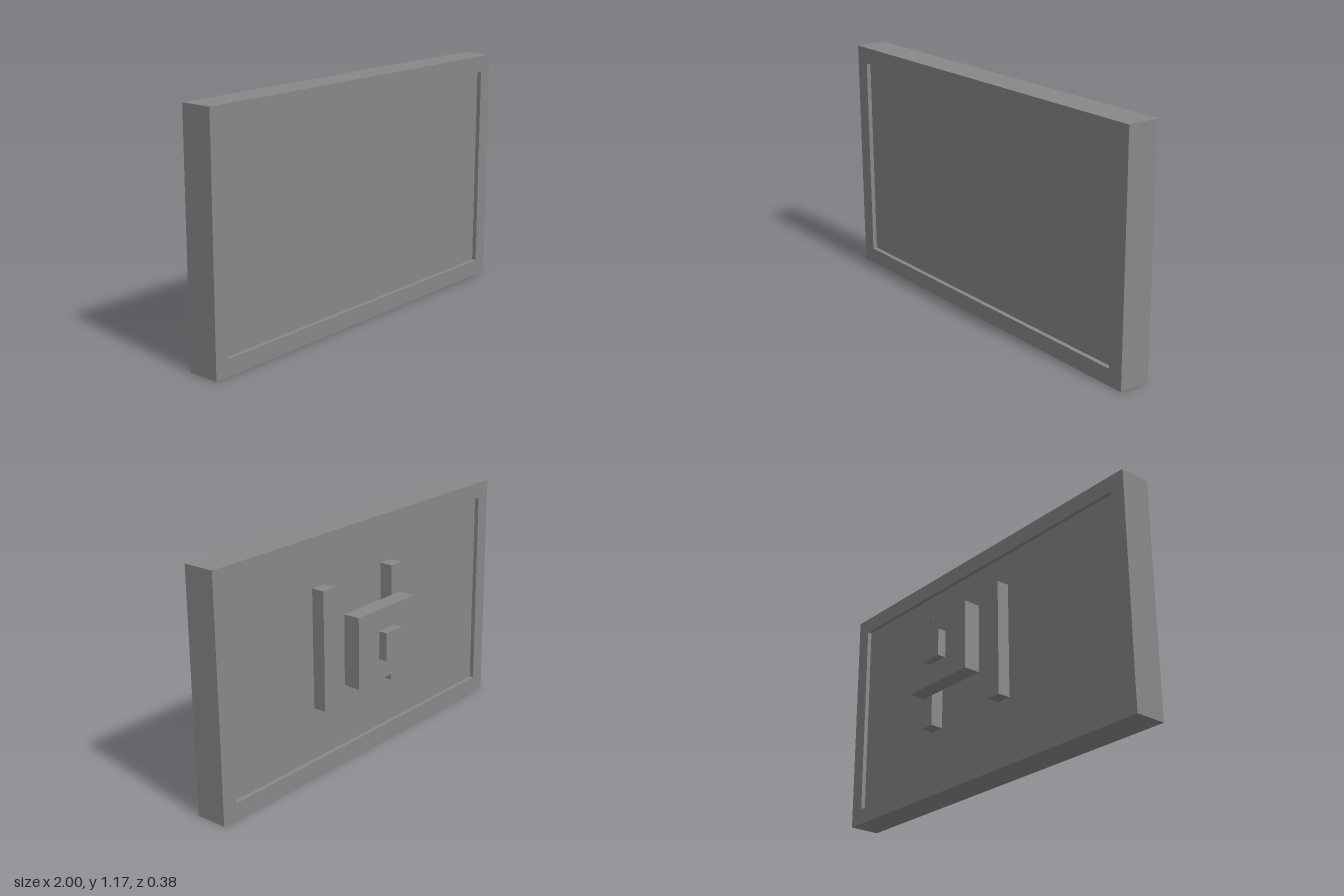
import * as THREE from 'three';

export function createModel() {
  const model = new THREE.Group();
  const grey = new THREE.MeshStandardMaterial({ color: 0x888888 });
  grey.name = 'matte grey';

  // Box given by its limits on each axis
  const addBox = (name, [x0, x1], [y0, y1], [z0, z1]) => {
    const mesh = new THREE.Mesh(new THREE.BoxGeometry(x1 - x0, y1 - y0, z1 - z0), grey);
    mesh.position.set((x0 + x1) / 2, (y0 + y1) / 2, (z0 + z1) / 2);
    mesh.name = name;
    model.add(mesh);
  };

  // Rectangular frame with an open middle
  const outline = new THREE.Shape([
    new THREE.Vector2(-1, 0), new THREE.Vector2(1, 0),
    new THREE.Vector2(1, 1.17), new THREE.Vector2(-1, 1.17),
  ]);
  outline.holes.push(new THREE.Path([
    new THREE.Vector2(-0.923, 0.08), new THREE.Vector2(-0.923, 1.09),
    new THREE.Vector2(0.923, 1.09), new THREE.Vector2(0.923, 0.08),
  ]));
  const frame = new THREE.Mesh(
    new THREE.ExtrudeGeometry(outline, { depth: 0.158, bevelEnabled: false }), grey);
  frame.position.z = 0.032;
  frame.name = 'frame';
  model.add(frame);

  // Panel, recessed on both faces
  addBox('screenPanel', [-0.923, 0.923], [0.08, 1.09], [0.054, 0.168]);

  // Upright mounting rails on the back
  addBox('rightRail', [-0.205, -0.128], [0.338, 0.925], [-0.012, 0.054]);
  addBox('leftRail', [0.291, 0.368], [0.338, 0.925], [-0.012, 0.054]);

  // Wall mount: arm in three runs through the plate
  addBox('mountArm', [0.02, 0.136], [0.562, 0.699], [-0.065, 0.054]);
  addBox('mountPlate', [-0.126, 0.285], [0.458, 0.805], [-0.147, -0.063]);
  addBox('mountStub', [0.02, 0.136], [0.562, 0.699], [-0.19, -0.145]);

  return model;
}
